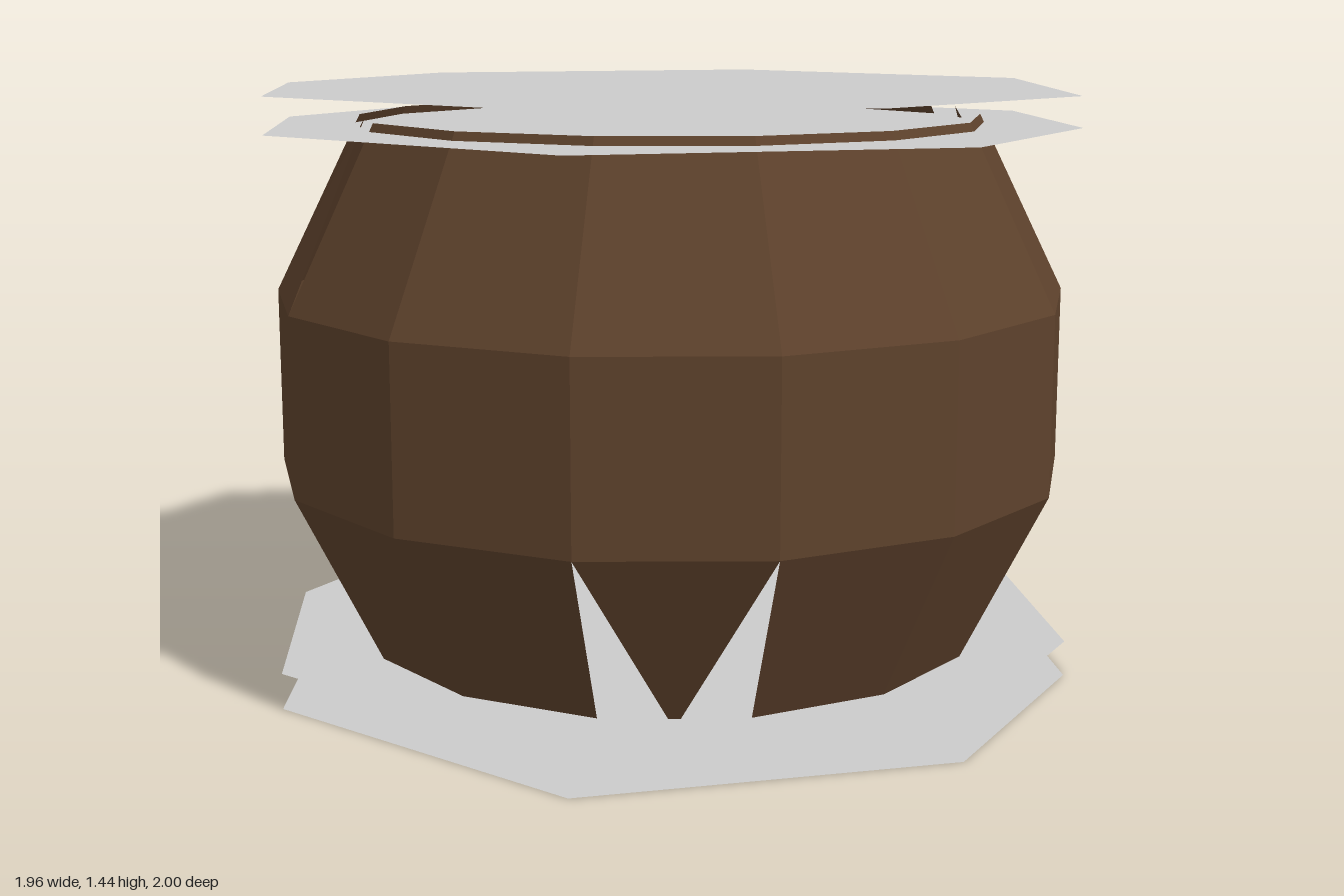
import * as THREE from 'three';

const SIDES = 14;
const STEP = (Math.PI * 2) / SIDES;
const MIDPOINT = Math.cos(STEP / 2); // radius factor halfway along a side

const wood = new THREE.MeshStandardMaterial({ color: 0x5e422c, flatShading: true, side: THREE.DoubleSide });
const grey = new THREE.MeshStandardMaterial({ color: 0xcccccc, flatShading: true, side: THREE.DoubleSide });

// Point on a 14-sided ring; half steps lie in the middle of a side
function ringPoint(step, radius, y) {
  const r = Number.isInteger(step) ? radius : radius * MIDPOINT;
  return [r * Math.cos(step * STEP), y, r * Math.sin(step * STEP)];
}

// Band of flat staves; the listed staves narrow to a pointed tip at one end
function band(name, [r0, y0], [r1, y1], pointed = [], tipY = 0) {
  const pos = [];
  for (let k = 0; k < SIDES; k++) {
    const a0 = ringPoint(k, r0, y0), b0 = ringPoint(k + 1, r0, y0);
    const a1 = ringPoint(k, r1, y1), b1 = ringPoint(k + 1, r1, y1);
    if (!pointed.includes(k)) {
      pos.push(...a0, ...a1, ...b1, ...a0, ...b1, ...b0);
    } else if (r0 < r1) {
      pos.push(...ringPoint(k + 0.5, r0, tipY), ...a1, ...b1);
    } else {
      pos.push(...a0, ...ringPoint(k + 0.5, r1, tipY), ...b0);
    }
  }
  const geo = new THREE.BufferGeometry();
  geo.setAttribute('position', new THREE.Float32BufferAttribute(pos, 3));
  geo.computeVertexNormals();
  const mesh = new THREE.Mesh(geo, wood);
  mesh.name = name;
  return mesh;
}

// Thin eight-cornered plate
function plate(name, y, steps) {
  const corners = steps.map((s) => {
    const [x, , z] = ringPoint(s, 1.0257, 0);
    return new THREE.Vector2(x, z);
  });
  const geo = new THREE.ShapeGeometry(new THREE.Shape(corners));
  geo.rotateX(Math.PI / 2);
  const mesh = new THREE.Mesh(geo, grey);
  mesh.name = name;
  mesh.position.y = y;
  return mesh;
}

export function createModel() {
  const model = new THREE.Group();
  model.name = 'barrel';

  // Barrel body: tapering ends around a straight belly
  const low = [0.765, 0.07], bellyLow = [0.98, 0.505], bellyHigh = [0.98, 0.94], high = [0.765, 1.375];
  model.add(
    band('lowerStaves', low, bellyLow, [1, 5, 8, 12], 0.058),
    band('bellyStaves', bellyLow, bellyHigh),
    band('upperStaves', bellyHigh, high, [1, 8], 1.384)
  );

  // Half outlines of the plates, as ring steps
  const frontA = [1, 3, 4.5, 6], frontB = [1, 2.5, 4, 6];
  const backA = [-6, -4.5, -3, -1], backB = [-6, -4, -2.5, -1];
  model.add(
    plate('lidTop', 1.442, [...frontA, ...backA]),
    plate('lidUnderside', 1.355, [...frontB, ...backA]),
    plate('baseTop', 0.087, [...frontB, ...backA]),
    plate('baseUnderside', 0, [...frontB, ...backB])
  );
  return model;
}
